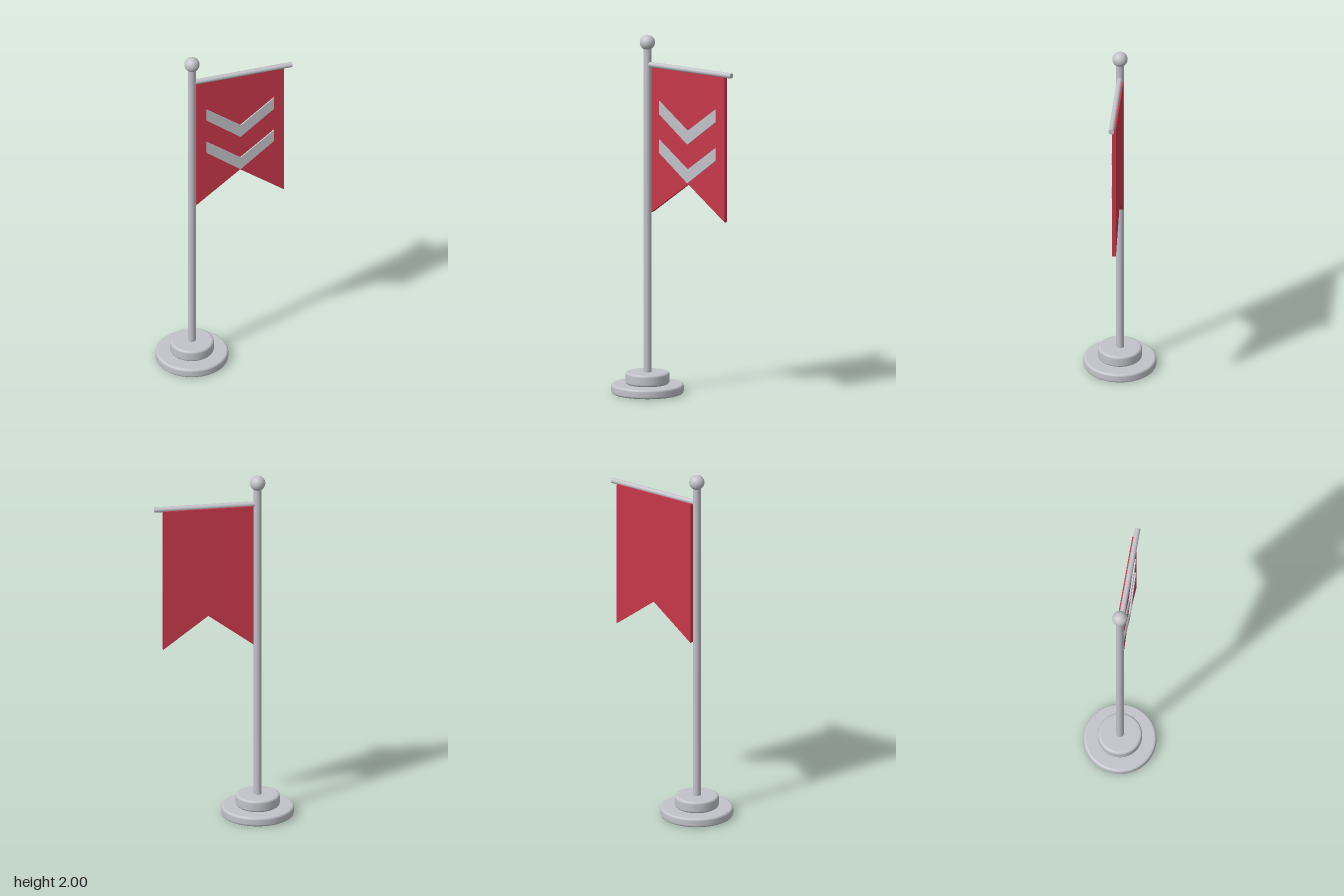
import * as THREE from 'three';

export function createModel() {
  const group = new THREE.Group();
  const metal = new THREE.MeshStandardMaterial({ color: 0xc2c3c9 });
  metal.name = 'light grey metal';
  const cloth = new THREE.MeshStandardMaterial({ color: 0xc8384a });
  cloth.name = 'red cloth';

  const poleX = -0.188;

  const add = (name, geometry, material, x = 0, y = 0, z = 0) => {
    const mesh = new THREE.Mesh(geometry, material);
    mesh.name = name;
    mesh.position.set(x, y, z);
    group.add(mesh);
    return mesh;
  };

  // Disc with rounded rims, resting on its local y = 0
  const disc = (radius, height, bevel) => {
    const points = [new THREE.Vector2(0, 0), new THREE.Vector2(radius - bevel, 0)];
    for (const [cy, start] of [[bevel, -Math.PI / 2], [height - bevel, 0]]) {
      for (let i = 0; i <= 4; i++) {
        const a = start + (i / 4) * (Math.PI / 2);
        points.push(new THREE.Vector2(radius - bevel + Math.cos(a) * bevel, cy + Math.sin(a) * bevel));
      }
    }
    points.push(new THREE.Vector2(radius - bevel, height), new THREE.Vector2(0, height));
    return new THREE.LatheGeometry(points, 40);
  };

  // Flat outline extruded along z
  const plate = (corners, depth) => new THREE.ExtrudeGeometry(
    new THREE.Shape(corners.map(([x, y]) => new THREE.Vector2(x, y))),
    { depth, bevelEnabled: false }
  );

  // Stepped base
  add('baseDisc', disc(0.2, 0.052, 0.013), metal, poleX);
  add('upperBaseDisc', disc(0.121, 0.066, 0.013), metal, poleX, 0.052);

  // Pole and ball
  add('pole', new THREE.CylinderGeometry(0.022, 0.022, 1.83, 24), metal, poleX, 1.025);
  add('finialBall', new THREE.SphereGeometry(0.042, 32, 20), metal, poleX, 1.958);

  // Crossbar
  const bar = add('crossbar', new THREE.CylinderGeometry(0.015, 0.015, 0.575, 20), metal, 0.0995, 1.837);
  bar.rotation.z = Math.PI / 2;

  // Swallow-tailed banner
  add('banner', plate([
    [-0.161, 1.83], [-0.161, 1.012], [0.09, 1.198], [0.341, 1.012], [0.341, 1.83],
  ], 0.022), cloth, 0, 0, -0.022);

  // Two chevrons on the front of the banner
  for (const y of [1.42, 1.204]) {
    add('chevron', plate([
      [-0.193, 0.148], [0, 0], [0.193, 0.148], [0.193, 0.22], [0, 0.076], [-0.193, 0.22],
    ], 0.008), metal, 0.09, y, 0);
  }

  return group;
}
